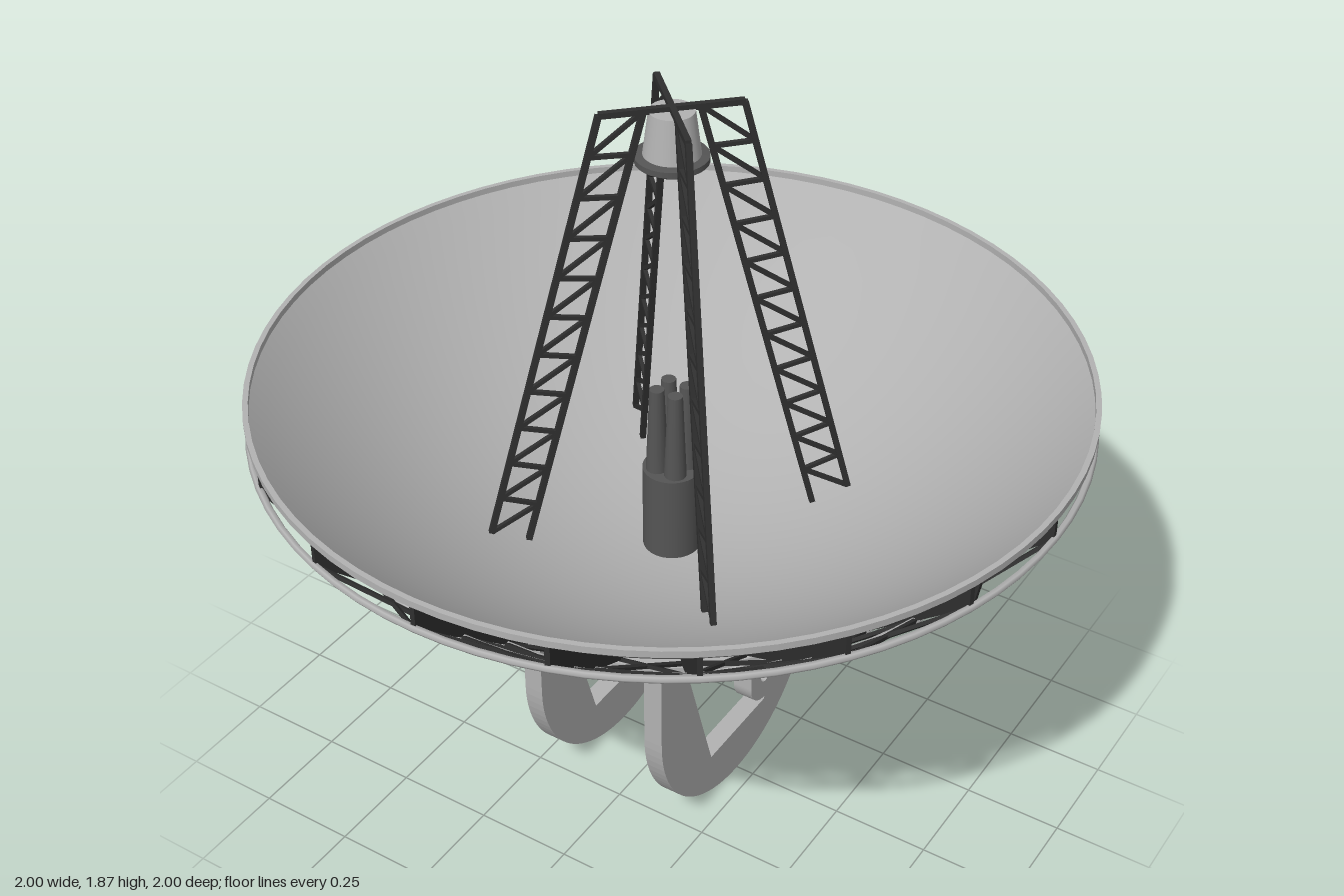
import * as THREE from 'three';
import { mergeGeometries } from 'three/addons/utils/BufferGeometryUtils.js';

const mat = (name, color) => {
  const m = new THREE.MeshStandardMaterial({ color });
  m.name = name;
  return m;
};

// Square bar between two points
function bar(a, b, w) {
  const dir = b.clone().sub(a);
  const g = new THREE.BoxGeometry(w, dir.length(), w);
  g.applyQuaternion(new THREE.Quaternion().setFromUnitVectors(new THREE.Vector3(0, 1, 0), dir.normalize()));
  const c = a.clone().add(b).multiplyScalar(0.5);
  return g.translate(c.x, c.y, c.z);
}

const polar = (r, y, angle) => new THREE.Vector3(r * Math.cos(angle), y, r * Math.sin(angle));
const dishY = (r) => 0.665 + 0.515 * r * r;
const vec2 = ([r, y]) => new THREE.Vector2(r, y);
const lathe = (pts, seg = 80) => new THREE.LatheGeometry(pts.map(vec2), seg);

export function createModel() {
  const root = new THREE.Group();
  root.name = 'dishAntenna';
  const light = mat('light grey', 0xb2b2b2);
  const back = mat('mid grey', 0x8a8a8a);
  const slate = mat('dark grey', 0x555555);
  const truss = mat('charcoal', 0x2f2f2f);
  const add = (name, geo, material) => {
    const m = new THREE.Mesh(geo, material);
    m.name = name;
    root.add(m);
    return m;
  };

  // Paraboloid dish: inner reflector, back skin and rim lip
  const curve = Array.from({ length: 25 }, (_, i) => [(i / 24) * 0.99, dishY((i / 24) * 0.99)]);
  add('reflector', lathe([...curve].reverse()), light);
  add('dishBack', lathe(curve.map(([r, y]) => [r, y - 0.007])), back);
  add('rim', lathe([[0.984, 1.163], [0.997, 1.163], [0.997, 1.163], [0.997, 1.18], [0.997, 1.18],
    [0.984, 1.18], [0.984, 1.18], [0.984, 1.163]]), light);

  // Radial fins filling the space between the dish and the hoops
  const nodes = [[0.99, 1.1], [0.838, 0.965], [0.688, 0.835], [0.475, 0.684]];
  const underDish = [0.22, 0.4, 0.55, 0.7, 0.85, 0.99].map((r) => [r, dishY(r) - 0.009]);
  const finShape = new THREE.Shape([...nodes, ...underDish].map(vec2));
  const finGeo = new THREE.ExtrudeGeometry(finShape, { depth: 0.012, bevelEnabled: false }).translate(0, 0, -0.006);
  const ribs = 20;
  const braces = [];
  for (let i = 0; i < ribs; i++) {
    const a = (i / ribs) * Math.PI * 2;
    const b = ((i + 1) / ribs) * Math.PI * 2;
    add('rib', finGeo, truss).rotation.y = a;
    // Crossed braces between neighbouring ribs
    for (let k = 0; k < nodes.length - 1; k++) {
      braces.push(bar(polar(...nodes[k], a), polar(...nodes[k + 1], b), 0.009));
      braces.push(bar(polar(...nodes[k], b), polar(...nodes[k + 1], a), 0.009));
    }
  }
  add('crossBraces', mergeGeometries(braces), truss);
  nodes.slice(0, 3).forEach(([r, y]) => {
    add('trussHoop', new THREE.TorusGeometry(r, 0.009, 6, 80).rotateX(Math.PI / 2).translate(0, y, 0), light);
  });

  // Round base plate with a groove around its edge
  add('basePlate', lathe([[0, 0.65], [0.49, 0.65], [0.49, 0.65], [0.49, 0.664], [0.49, 0.664], [0.48, 0.666],
    [0.48, 0.668], [0.49, 0.67], [0.49, 0.67], [0.49, 0.684], [0.49, 0.684], [0.25, 0.684]]), light);

  // Elevation cradles: a pair of half-round plates with a tapered notch
  const cradle = new THREE.Shape();
  cradle.moveTo(-0.36, 0.655);
  cradle.lineTo(-0.36, 0.36);
  cradle.absarc(0, 0.36, 0.36, Math.PI, Math.PI * 2, false);
  cradle.lineTo(0.36, 0.655);
  cradle.lineTo(0.29, 0.655);
  cradle.lineTo(0.13, 0.14);
  cradle.lineTo(-0.13, 0.14);
  cradle.lineTo(-0.29, 0.655);
  cradle.closePath();

  // Pivot lugs: narrow rounded plates with a pin hole
  const lug = new THREE.Shape();
  lug.moveTo(-0.07, 0.655);
  lug.lineTo(-0.07, 0.36);
  lug.absarc(0, 0.36, 0.07, Math.PI, Math.PI * 2, false);
  lug.lineTo(0.07, 0.655);
  lug.closePath();
  const hole = new THREE.Path();
  hole.absarc(0, 0.363, 0.022, 0, Math.PI * 2, true);
  lug.holes.push(hole);

  const plate = (shape, depth, x) =>
    new THREE.ExtrudeGeometry(shape, { depth, bevelEnabled: false, curveSegments: 24 })
      .rotateY(Math.PI / 2).translate(x - depth / 2, 0, 0);
  for (const side of [-1, 1]) {
    const name = side > 0 ? 'left' : 'right';
    add(name + 'Cradle', plate(cradle, 0.05, side * 0.177), light);
    add(name + 'PivotLug', plate(lug, 0.05, side * 0.254), light);
  }

  // Four lattice legs holding the feed
  const top = 1.865, inset = 0.07, panels = 11;
  const outerFoot = 0.77, innerFoot = 0.735;
  const at = (t, offset) => {
    const y = THREE.MathUtils.lerp(top, offset ? innerFoot : outerFoot, t);
    return polar((0.115 - offset + (top - y) * 0.183) * Math.SQRT2, y, 0);
  };
  const legBars = [
    bar(at(0, 0), at(1, 0), 0.014),
    bar(at(0, inset), at(1, inset), 0.014),
    bar(at(0, 0), new THREE.Vector3(0, top, 0), 0.014),
  ];
  for (let i = 0; i < panels; i++) {
    const t = i / panels;
    legBars.push(bar(at(t, inset), at((i + 1) / panels, 0), 0.01));
    if (i > 0) legBars.push(bar(at(t, 0), at(t, inset), 0.01));
  }
  const legGeo = mergeGeometries(legBars);
  for (let i = 0; i < 4; i++) {
    add('feedLeg', legGeo, truss).rotation.y = Math.PI / 4 + (i * Math.PI) / 2;
  }

  // Feed housing with a shallow convex subreflector below
  add('feedHousing', new THREE.CylinderGeometry(0.052, 0.066, 0.105, 28).translate(0, 1.808, 0), light);
  add('subreflector', lathe([[0, 1.71], [0.035, 1.715], [0.065, 1.725], [0.085, 1.738], [0.085, 1.738],
    [0.085, 1.752], [0.085, 1.752], [0, 1.76]], 28), slate);

  // Central receiver column with a cluster of four horns
  add('receiverColumn', new THREE.CylinderGeometry(0.072, 0.072, 0.23, 28).translate(0, 0.785, 0), slate);
  for (const x of [-1, 1]) {
    for (const z of [-1, 1]) {
      add('receiverHorn', new THREE.CylinderGeometry(0.018, 0.028, 0.24, 14)
        .translate(x * 0.026, 1.01, z * 0.026), slate);
    }
  }
  return root;
}
